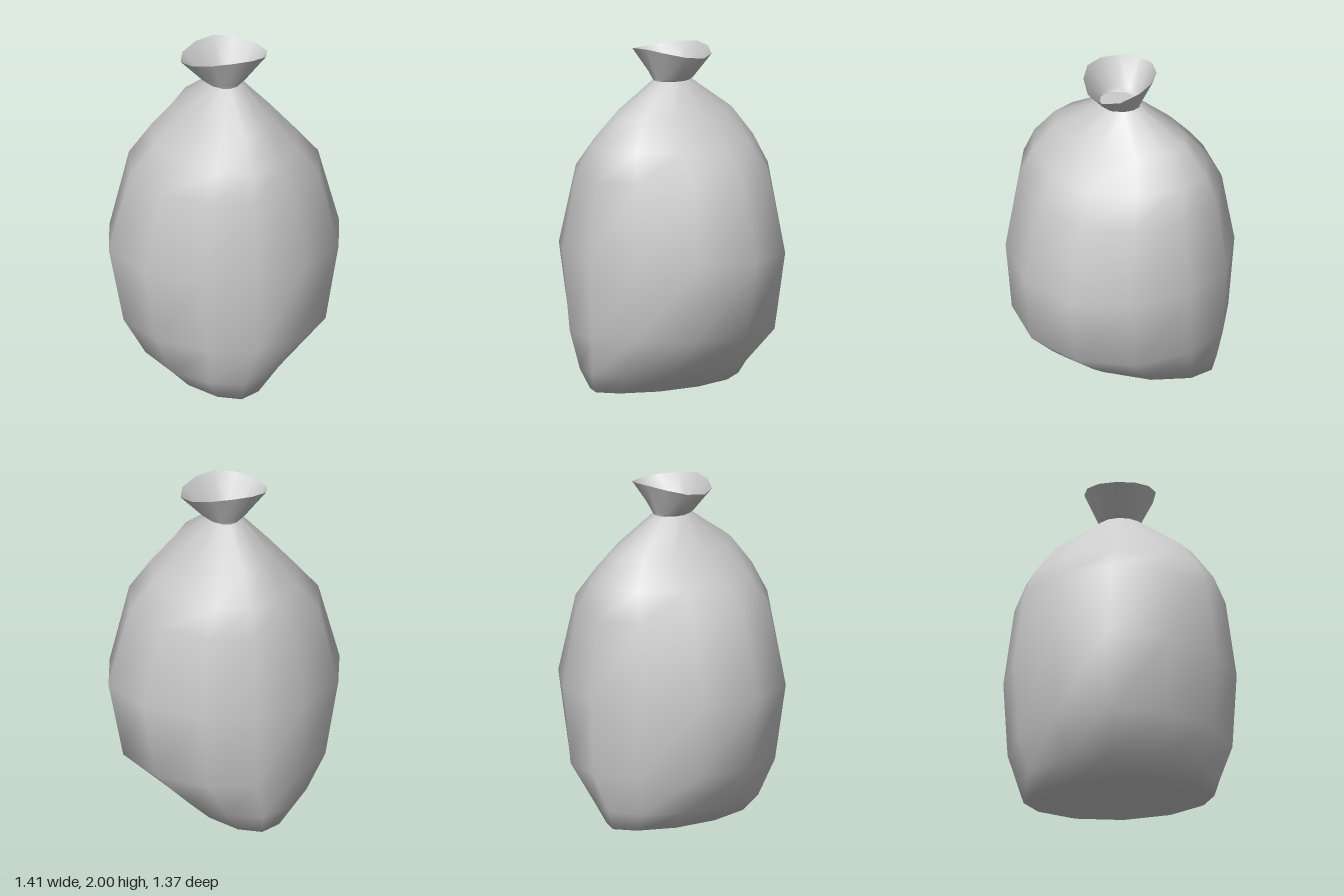
import * as THREE from 'three';

const SIDES = 12;

// Skin a stack of oval rings [y, centreX, radiusX, radiusZ, rimLift], optionally closed at the first/last ring
function loft(rings, capStart, capEnd) {
  const pos = [], index = [];
  for (const [y, cx, rx, rz, lift = 0] of rings) {
    for (let i = 0; i < SIDES; i++) {
      const a = (i / SIDES) * Math.PI * 2;
      const c = Math.cos(a), s = Math.sin(a);
      const x = Math.sign(c) * Math.pow(Math.abs(c), 1.18); // slightly pinched towards the side seams
      pos.push(cx + rx * x, y + lift * s * s, rz * s);
    }
  }
  for (let r = 0; r < rings.length - 1; r++) {
    for (let i = 0; i < SIDES; i++) {
      const a = r * SIDES + i, b = r * SIDES + ((i + 1) % SIDES);
      index.push(a, a + SIDES, b, b, a + SIDES, b + SIDES);
    }
  }
  const cap = (r, up) => {
    const centre = pos.length / 3;
    pos.push(rings[r][1], rings[r][0], 0);
    for (let i = 0; i < SIDES; i++) {
      const a = r * SIDES + i, b = r * SIDES + ((i + 1) % SIDES);
      if (up) index.push(centre, b, a);
      else index.push(centre, a, b);
    }
  };
  if (capStart) cap(0, capStart === 'up');
  if (capEnd) cap(rings.length - 1, true);
  const g = new THREE.BufferGeometry();
  g.setAttribute('position', new THREE.Float32BufferAttribute(pos, 3));
  g.setIndex(index);
  g.computeVertexNormals();
  return g;
}

export function createModel() {
  const group = new THREE.Group();
  group.name = 'sack';
  const material = new THREE.MeshStandardMaterial({ color: 0xcccccc, side: THREE.DoubleSide });
  const add = (name, geometry) => {
    const mesh = new THREE.Mesh(geometry, material);
    mesh.name = name;
    group.add(mesh);
  };

  // Bulging body, sagging to one side at the base
  add('sackBody', loft([
    [0, -0.065, 0.285, 0.56],
    [0.11, -0.06, 0.42, 0.593],
    [0.34, 0, 0.615, 0.66],
    [0.8, 0, 0.705, 0.685],
    [1.27, 0, 0.575, 0.62],
    [1.44, 0, 0.43, 0.55],
    [1.61, 0, 0.28, 0.42],
    [1.8, 0, 0.1, 0.125],
  ], 'down', false));

  // Flared mouth above the tied neck, rim raised at front and back
  add('sackMouth', loft([
    [1.8, 0, 0.1, 0.125],
    [1.818, 0, 0.13, 0.128],
    [1.955, 0, 0.265, 0.21, 0.045],
  ], false, false));

  // Gathered cloth closing the neck
  add('neckClosure', loft([[1.801, 0, 0.1, 0.125]], 'up', false));

  return group;
}
